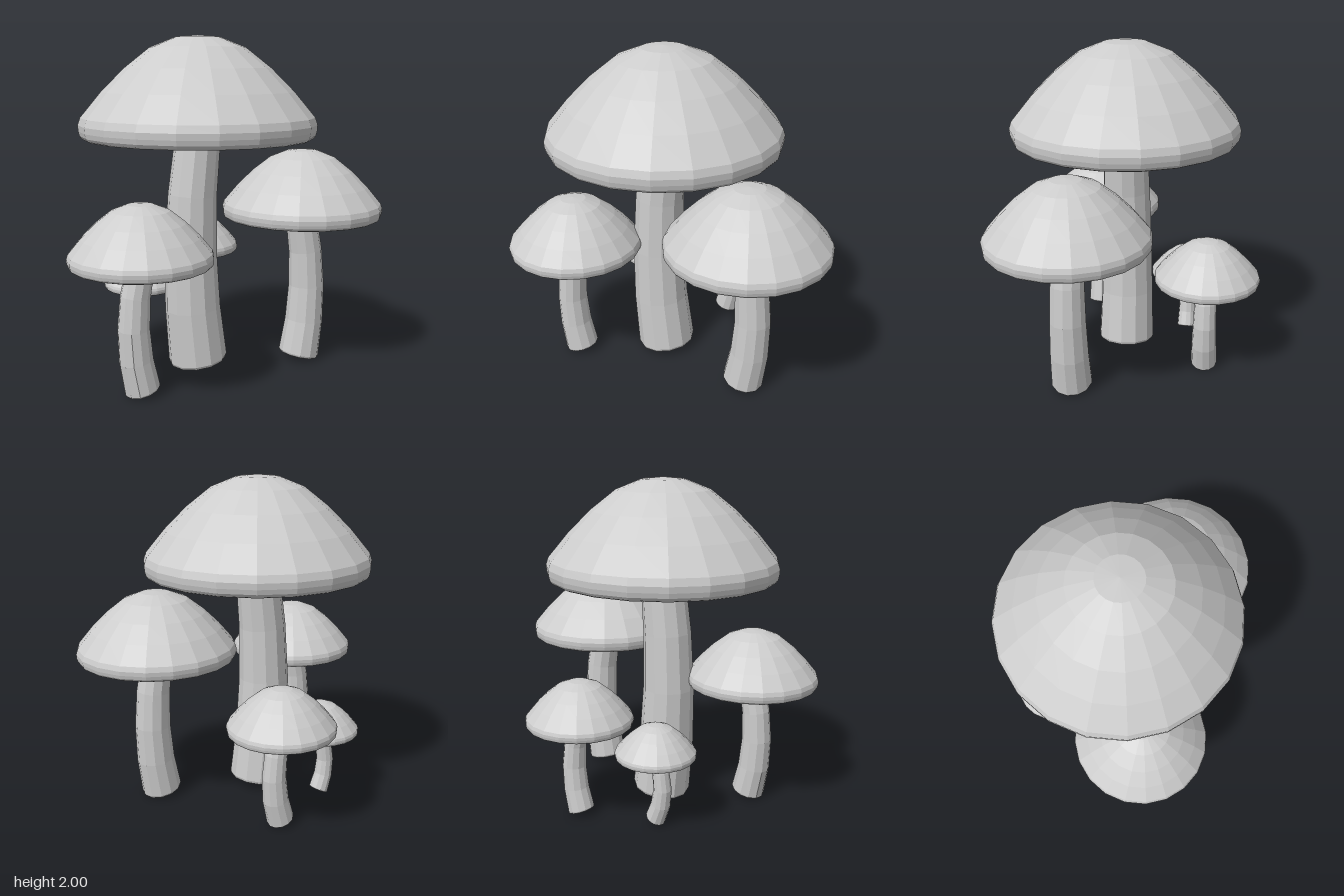
import * as THREE from 'three';

const grey = new THREE.MeshStandardMaterial({ color: 0xcccccc, flatShading: true });
grey.name = 'grey';

const lathe = (profile, sides) =>
  new THREE.LatheGeometry(profile.map(([r, y]) => new THREE.Vector2(r, y)), sides);

// Cap profile for a unit radius: flat underside, rounded rim, domed top
const capProfile = [
  [0, 0], [0.945, 0], [0.97, 0.012], [0.987, 0.035], [0.997, 0.075], [1, 0.125], [0.98, 0.185],
  [0.807, 0.393], [0.614, 0.586], [0.4, 0.755], [0.186, 0.84], [0, 0.857],
];

function makeCap(x, y, z, radius) {
  const cap = new THREE.Mesh(lathe(capProfile, 20), grey);
  cap.name = 'cap';
  cap.position.set(x, y, z);
  cap.scale.setScalar(radius);
  return cap;
}

// Tapered stem with a rounded foot, bent sideways along a curve
function makeStem(x, height, z, capRadius, bend) {
  const footR = capRadius * 0.257, topR = capRadius * 0.194;
  const base = 0.027, length = height + 0.01 - base;
  const bevel = 0.13 * footR;
  const profile = [
    [0, 0], [footR - bevel, 0], [footR - bevel * 0.3, bevel * 0.3], [footR, bevel],
  ].map(([r, h]) => [r, h / length]);
  for (const t of [0.25, 0.5, 0.75, 1]) profile.push([footR + (topR - footR) * t, t]);
  profile.push([0, 1]);

  const curve = new THREE.QuadraticBezierCurve3(
    new THREE.Vector3(x, base, z),
    new THREE.Vector3(x + 2 * bend, base + length / 2, z),
    new THREE.Vector3(x, base + length, z));
  const geometry = lathe(profile, 12);
  const pos = geometry.attributes.position;
  for (let i = 0; i < pos.count; i++) {
    // Each ring sits square to the curve
    const t = THREE.MathUtils.clamp(pos.getY(i), 0, 1);
    const p = curve.getPoint(t), d = curve.getTangent(t), px = pos.getX(i);
    pos.setXYZ(i, p.x + px * d.y, p.y - px * d.x, p.z + pos.getZ(i));
  }
  geometry.computeVertexNormals();
  const stem = new THREE.Mesh(geometry, grey);
  stem.name = 'stem';
  return stem;
}

export function createModel() {
  const model = new THREE.Group();
  model.name = 'mushroomCluster';
  // name, x, z, cap underside height, cap radius, stem bend
  const mushrooms = [
    ['tallMushroom', -0.1, 0.08, 1.4, 0.7, -0.05],
    ['leftMushroom', 0.5, 0.295, 0.915, 0.485, 0.05],
    ['rightMushroom', -0.587, 0.35, 0.75, 0.403, -0.05],
    ['backMushroom', 0.12, -0.465, 0.587, 0.32, 0.05],
    ['smallMushroom', -0.31, -0.3, 0.425, 0.24, -0.05],
  ];
  for (const [name, x, z, height, radius, bend] of mushrooms) {
    const mushroom = new THREE.Group();
    mushroom.name = name;
    mushroom.add(makeCap(x, height, z, radius), makeStem(x, height, z, radius, bend));
    model.add(mushroom);
  }
  return model;
}
